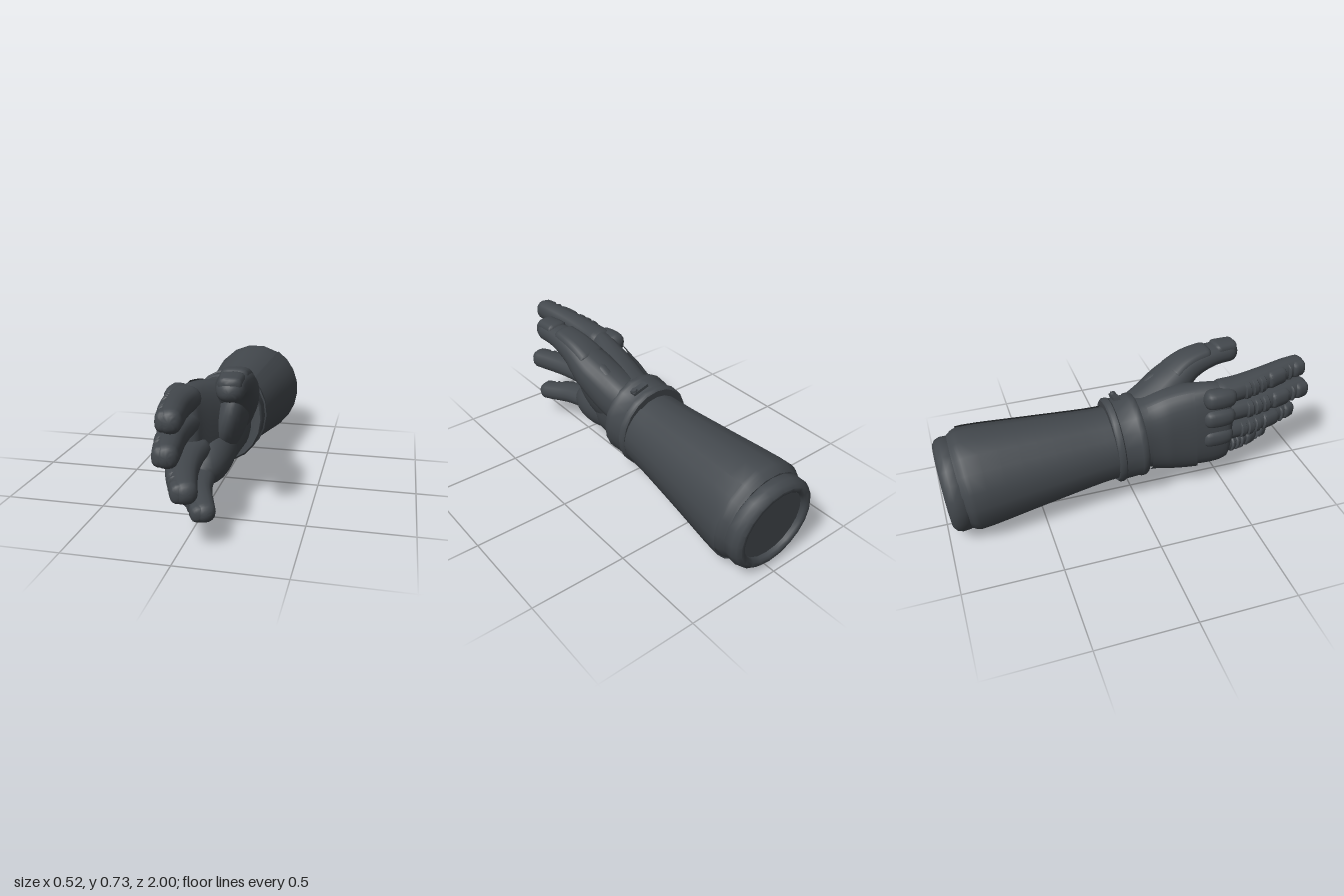
import * as THREE from 'three';
import { toCreasedNormals } from 'three/addons/utils/BufferGeometryUtils.js';

const charcoal = new THREE.MeshStandardMaterial({ color: 0x43484d, side: THREE.DoubleSide });
charcoal.name = 'charcoal';

// Loft of ellipses through stations [x, y, z, half width, half height].
// t0..t1 picks a stretch, out shifts it sideways/upwards, a0..a1 leaves an open arc.
function loft(stations, o = {}) {
  const { n = 24, sides = 16, cap = 0, t0 = 0, t1 = 1, out = [0, 0], w = 1, h = 1,
    grow = 0, a0 = 0, a1 = Math.PI * 2, power = 2 } = o;
  const path = new THREE.CatmullRomCurve3(stations.map(s => new THREE.Vector3(s[0], s[1], s[2])));
  const size = new THREE.CatmullRomCurve3(stations.map(s => new THREE.Vector3(s[3], s[4], 0)));
  const length = path.getPoint(t0).distanceTo(path.getPoint(t1));
  const closed = a1 - a0 > 6.28, cols = closed ? sides : sides + 1;
  const up = new THREE.Vector3(0, 1, 0), pos = [], idx = [];
  const bend = v => Math.sign(v) * Math.abs(v) ** (2 / power);
  const ends = [];
  for (let k = 0; k <= n; k++) {
    const u = cap ? (1 - Math.cos(Math.PI * k / n)) / 2 : k / n;
    const t = t0 + (t1 - t0) * u;
    const c = path.getPoint(t), r = size.getPoint(t), dir = path.getTangent(t);
    const side = new THREE.Vector3().crossVectors(up, dir).normalize();
    const top = new THREE.Vector3().crossVectors(dir, side);
    c.addScaledVector(side, out[0]).addScaledVector(top, out[1]);
    // Domed ends
    const d = Math.min(u, 1 - u) * length;
    const f = cap && d < cap ? Math.sqrt(Math.max(0, 1 - (1 - d / cap) ** 2)) : 1;
    for (let j = 0; j < cols; j++) {
      const a = a0 + (a1 - a0) * j / sides;
      const p = c.clone()
        .addScaledVector(side, (r.x * w + grow) * f * bend(Math.cos(a)))
        .addScaledVector(top, (r.y * h + grow) * f * bend(Math.sin(a)));
      pos.push(p.x, p.y, p.z);
    }
    if (k === 0 || k === n) ends.push(c);
  }
  for (let k = 0; k < n; k++) for (let j = 0; j < sides; j++) {
    const j2 = (j + 1) % cols, a = k * cols, b = a + cols;
    idx.push(a + j, a + j2, b + j2, a + j, b + j2, b + j);
  }
  if (closed) {
    const first = pos.length / 3;
    ends.forEach(c => pos.push(c.x, c.y, c.z));
    for (let j = 0; j < sides; j++) {
      const j2 = (j + 1) % sides;
      idx.push(first, j2, j, first + 1, n * cols + j, n * cols + j2);
    }
  }
  const g = new THREE.BufferGeometry();
  g.setAttribute('position', new THREE.Float32BufferAttribute(pos, 3));
  g.setIndex(idx);
  return toCreasedNormals(g, 0.75);
}

export function createModel() {
  const model = new THREE.Group();
  const add = (name, geometry, parent = model) => {
    const m = new THREE.Mesh(geometry, charcoal);
    m.name = name;
    parent.add(m);
    return m;
  };
  // Oval band around the arm, profile of [radius, distance towards the elbow]
  const band = (name, profile, y, z, sx, sy) => {
    const g = new THREE.LatheGeometry(profile.map(p => new THREE.Vector2(...p)), 20);
    const m = add(name, toCreasedNormals(g, 0.75));
    m.rotation.x = -Math.PI / 2 - 0.08;
    m.scale.set(sx, 1, sy);
    m.position.set(0, y, z);
  };

  // Forearm gauntlet with overlapping panel
  const forearm = [
    [0, 0.27, -0.905, 0.238, 0.245], [0, 0.275, -0.85, 0.258, 0.27], [0, 0.3, -0.5, 0.222, 0.234],
    [0, 0.32, -0.2, 0.193, 0.2], [0, 0.328, -0.06, 0.185, 0.193]];
  add('forearm', loft(forearm, { n: 16, sides: 18 }));
  add('forearmPanel', loft(forearm, { n: 12, sides: 9, t0: 0.22, t1: 0.92, grow: 0.007, a0: -1.42, a1: 1.02 }));

  // Rolled rim with recessed end
  band('cuffRim', [[0.2, -0.03], [0.232, 0], [0.243, 0.02], [0.245, 0.06], [0.235, 0.085],
    [0.215, 0.1], [0.195, 0.098], [0.186, 0.088], [0.184, 0.07], [0, 0.07]], 0.266, -0.885, 1, 1);

  // Wrist strap with raised edges and buckle
  band('wristStrap', [[0.165, -0.082], [0.194, -0.082], [0.202, -0.072], [0.202, -0.046], [0.197, -0.04],
    [0.197, 0.04], [0.204, 0.046], [0.204, 0.07], [0.196, 0.08], [0.165, 0.08]], 0.344, -0.038, 1.01, 1.15);
  const buckle = add('buckle', new THREE.BoxGeometry(0.09, 0.016, 0.035));
  buckle.position.set(0.06, 0.566, -0.065);
  buckle.rotation.z = -0.3;
  const stud = add('buckleStud', new THREE.CylinderGeometry(0.014, 0.018, 0.02, 12));
  stud.position.set(0.09, 0.565, -0.065);
  stud.rotation.z = -0.35;

  // Hand body and raised plate on its back
  const hand = [
    [0, 0.35, -0.05, 0.15, 0.2], [0, 0.355, 0.08, 0.138, 0.205], [-0.01, 0.365, 0.2, 0.14, 0.23],
    [-0.045, 0.375, 0.33, 0.113, 0.245], [-0.075, 0.385, 0.45, 0.085, 0.245], [-0.085, 0.39, 0.54, 0.065, 0.22]];
  add('hand', loft(hand, { n: 28, sides: 28, cap: 0.06, power: 2.5 }));
  add('backPlate', loft(hand, { n: 14, sides: 14, t0: 0.2, t1: 0.62, grow: 0.012, power: 2.5,
    a0: Math.PI - 1.15, a1: Math.PI + 1.2 }));

  // Fleshy palm pads: below the thumb and along the little finger side
  [['thumbPad', [0.085, 0.43, 0.21], [0.085, 0.21, 0.18], -0.25],
    ['heelPad', [0.015, 0.265, 0.3], [0.105, 0.12, 0.25], 0.15]].forEach(([name, at, size, tilt]) => {
    const pad = add(name, new THREE.SphereGeometry(1, 24, 16));
    pad.position.set(...at);
    pad.scale.set(...size);
    pad.rotation.set(0.2, 0, tilt);
  });

  // Thumb with two top plates
  const thumb = new THREE.Group();
  thumb.name = 'thumb';
  model.add(thumb);
  const thumbPath = [
    [0.05, 0.4, 0, 0.1, 0.13], [0.08, 0.47, 0.13, 0.112, 0.12], [0.115, 0.555, 0.25, 0.112, 0.1],
    [0.138, 0.628, 0.36, 0.09, 0.075], [0.153, 0.66, 0.5, 0.072, 0.056], [0.168, 0.658, 0.655, 0.06, 0.054]];
  add('thumbBody', loft(thumbPath, { n: 32, sides: 20, cap: 0.05, power: 2.3 }), thumb);
  [[0.45, 0.79], [0.81, 0.985]].forEach(([t0, t1]) => add('thumbPlate',
    loft(thumbPath, { t0, t1, cap: 0.025, out: [0, 0.03], w: 0.84, h: 0.65, power: 3 }), thumb));

  // Fingers curling towards the palm, each with armour along the back
  const fingers = {
    index: [[-0.08, 0.572, 0.42, 0.078, 0.06], [-0.075, 0.578, 0.56, 0.07, 0.06],
      [-0.052, 0.594, 0.72, 0.06, 0.058], [-0.024, 0.606, 0.86, 0.054, 0.056], [-0.005, 0.61, 0.965, 0.047, 0.052]],
    middle: [[-0.08, 0.46, 0.42, 0.08, 0.06], [-0.08, 0.463, 0.58, 0.072, 0.059],
      [-0.06, 0.468, 0.75, 0.062, 0.058], [-0.032, 0.471, 0.89, 0.055, 0.056], [-0.01, 0.471, 1, 0.047, 0.052]],
    ring: [[-0.055, 0.335, 0.42, 0.098, 0.06], [-0.052, 0.325, 0.56, 0.085, 0.058],
      [-0.022, 0.315, 0.72, 0.07, 0.056], [0.022, 0.306, 0.86, 0.058, 0.055], [0.06, 0.301, 0.96, 0.05, 0.051]],
    little: [[-0.025, 0.225, 0.4, 0.088, 0.058], [-0.01, 0.204, 0.53, 0.082, 0.055],
      [0.02, 0.186, 0.64, 0.068, 0.053], [0.068, 0.167, 0.74, 0.056, 0.049], [0.108, 0.153, 0.825, 0.047, 0.045]]
  };
  const armour = [[0.26, 0.33], [0.33, 0.4], [0.4, 0.47], [0.48, 0.7], [0.71, 0.76], [0.77, 0.985]];
  for (const [name, path] of Object.entries(fingers)) {
    const finger = new THREE.Group();
    finger.name = name + 'Finger';
    model.add(finger);
    add(name + 'Body', loft(path, { n: 28, cap: 0.05, power: 2.3 }), finger);
    armour.forEach(([t0, t1]) => add(name + 'Armour', loft(path, {
      n: 12, t0, t1, cap: t1 - t0 < 0.1 ? 0.012 : 0.025, out: [-0.02, 0], w: 0.86, h: 0.86, power: 2.8
    }), finger));
    // Knuckle guard on the back of the hand
    const [baseX, y, z, halfWidth] = path[0], x = baseX - halfWidth + 0.03;
    add(name + 'Knuckle', loft([[x, y, z - 0.07, 0.048, 0.05], [x - 0.004, y, z + 0.02, 0.05, 0.052],
      [x + 0.004, y - 0.003, z + 0.11, 0.045, 0.046]], { n: 16, cap: 0.04, power: 2.6 }), finger);
  }
  return model;
}
